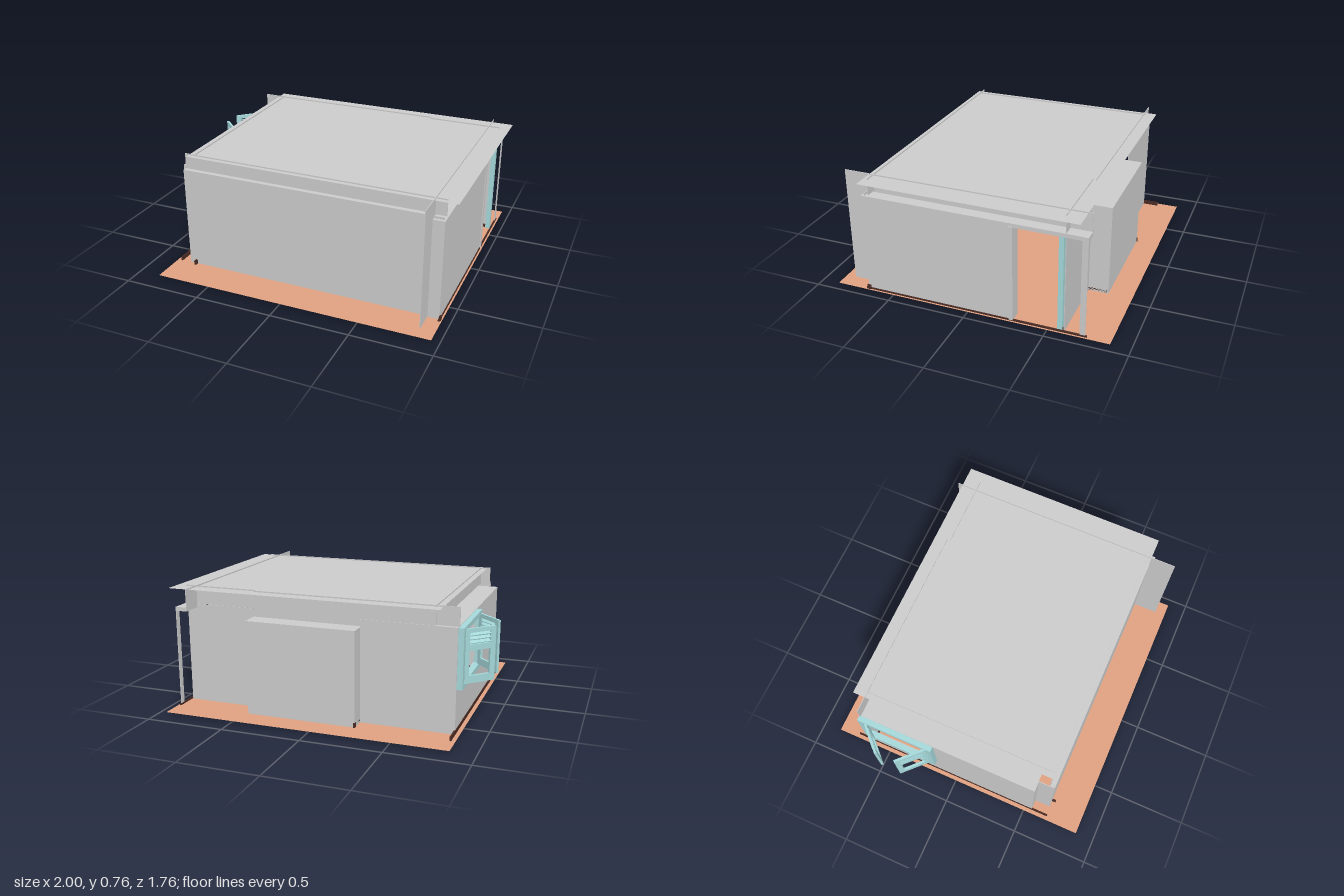
import * as THREE from 'three';

const mat = (color) => new THREE.MeshStandardMaterial({ color, side: THREE.DoubleSide });

export function createModel() {
  const room = new THREE.Group();
  room.name = 'room';
  const grey = mat(0xcccccc), clay = mat(0xe0a080), brown = mat(0x4a2c24), teal = mat(0xa5d8da);

  const add = (name, geometry, material, parent = room) => {
    const mesh = new THREE.Mesh(geometry, material);
    mesh.name = name;
    parent.add(mesh);
    return mesh;
  };
  // Box given by its extents on each axis
  const box = (name, [x0, x1], [y0, y1], [z0, z1], material = grey, parent = room) => {
    const mesh = add(name, new THREE.BoxGeometry(x1 - x0, y1 - y0, z1 - z0), material, parent);
    mesh.position.set((x0 + x1) / 2, (y0 + y1) / 2, (z0 + z1) / 2);
    return mesh;
  };
  // Thin upright panel between two plan points
  const panel = (name, [x0, z0], [x1, z1], [y0, y1], material = grey, t = 0.004) => {
    const mesh = add(name, new THREE.BoxGeometry(Math.hypot(x1 - x0, z1 - z0), y1 - y0, t), material);
    mesh.position.set((x0 + x1) / 2, (y0 + y1) / 2, (z0 + z1) / 2);
    mesh.rotation.y = -Math.atan2(z1 - z0, x1 - x0);
  };
  // Rectangle shape with rectangular holes, each [x0, y0, x1, y1]
  const rect = (T, [a, b, c, d]) =>
    new T([[a, b], [c, b], [c, d], [a, d]].map(([x, y]) => new THREE.Vector2(x, y)));
  const pierced = (outer, holes, depth) => {
    const shape = rect(THREE.Shape, outer);
    shape.holes = holes.map((h) => rect(THREE.Path, h));
    return new THREE.ExtrudeGeometry(shape, { depth, bevelEnabled: false });
  };

  // Floor and ceiling sheets
  const sheet = (name, x0, x1, z0, z1, y, material) => {
    const mesh = add(name, new THREE.PlaneGeometry(x1 - x0, z1 - z0), material);
    mesh.rotation.x = -Math.PI / 2;
    mesh.position.set((x0 + x1) / 2, y, (z0 + z1) / 2);
  };
  sheet('floor', -0.85, 0.95, -0.88, 0.88, 0.01, clay);
  sheet('ceiling', -0.73, 1.0, -0.7, 0.65, 0.757, grey);

  // Front wall with the stepped corner beside it
  const H = [0.01, 0.648];
  panel('frontWall', [-0.755, 0.65], [0.925, 0.65], [0, 0.665]);
  panel('frontCornerReturn', [-0.755, 0.65], [-0.755, 0.547], H);
  panel('frontCornerStep', [-0.755, 0.547], [-0.82, 0.547], H);
  box('frontWallLedge', [-0.755, 0.86], [0.661, 0.665], [0.62, 0.652]);

  // Back wall in two planes, with an alcove pushed out of it
  panel('backWallLeft', [0.925, -0.6], [0.46, -0.6], H);
  panel('backWallRight', [-0.24, -0.635], [-0.82, -0.635], H);
  panel('backWallOverAlcove', [0.46, -0.61], [-0.24, -0.61], [0.595, 0.65]);
  panel('alcoveBack', [0.46, -0.727], [-0.24, -0.727], [0.01, 0.6]);
  panel('alcoveSide', [0.458, -0.727], [0.458, -0.6], [0.01, 0.6]);
  panel('alcoveSide', [-0.238, -0.727], [-0.238, -0.6], [0.01, 0.6]);
  box('alcoveTop', [-0.24, 0.46], [0.596, 0.6], [-0.729, -0.6]);

  // Wall on the model's left: thick part, doorway, lintel, end post
  box('doorWall', [0.86, 0.934], [0.015, 0.65], [-0.29, 0.67]);
  box('doorTrim', [0.925, 0.94], [0.015, 0.63], [-0.29, -0.265]);
  box('doorLintel', [0.86, 0.934], [0.625, 0.65], [-0.73, -0.29]);
  panel('endPost', [0.934, -0.695], [0.934, -0.73], [0.015, 0.65]);
  box('doorJamb', [0.9, 0.93], [0.02, 0.625], [-0.59, -0.56], teal);
  panel('cornerFin', [0.86, 0.65], [0.86, 0.81], [0.02, 0.765]);

  // Wall on the model's right, with the window opening
  const windowWall = add('windowWall',
    pierced([-0.547, 0.01, 0.637, 0.648], [[0.16, 0.31, 0.6, 0.615]], 0.004), grey);
  windowWall.rotation.y = Math.PI / 2;
  windowWall.position.x = -0.822;
  box('windowWallLedge', [-0.822, -0.69], [0.644, 0.648], [-0.637, 0.547]);

  // Upper band under the ceiling
  const band = [0.65, 0.765];
  panel('leftBand', [0.86, 0.81], [0.86, -0.73], band);
  panel('rightBand', [-0.69, 0.62], [-0.69, -0.63], band);
  panel('frontBand', [-0.755, 0.62], [0.93, 0.62], [0.66, 0.765]);
  panel('backBand', [0.93, -0.6], [0.45, -0.6], band);
  panel('backBand', [0.45, -0.62], [-0.83, -0.62], band);

  // Skirting boards
  const skirt = (points, y = [0.002, 0.03]) => {
    for (let i = 1; i < points.length; i++) {
      panel('skirting', points[i - 1], points[i], y, brown, 0.01);
    }
  };
  skirt([[-0.82, -0.74], [-0.82, 0.66]], [0.002, 0.035]);
  skirt([[0.934, 0.685], [0.934, -0.74]], [0.002, 0.02]);
  skirt([[-0.82, 0.542], [-0.75, 0.542], [-0.75, 0.645], [0.86, 0.645]]);
  skirt([[0.925, -0.595], [0.455, -0.595], [0.455, -0.722], [-0.235, -0.722],
    [-0.235, -0.63], [-0.815, -0.63]]);
  for (const [x, z] of [[-0.71, 0.665], [0.938, 0.665], [-0.237, -0.722]]) {
    box('skirtingEnd', [x - 0.006, x + 0.006], [0.01, 0.038], [z - 0.012, z + 0.012], brown);
  }

  // Window frame
  const frame = add('windowFrame',
    pierced([0.13, 0.28, 0.63, 0.645], [[0.16, 0.31, 0.6, 0.615]], 0.04), teal);
  frame.rotation.y = Math.PI / 2;
  frame.position.x = -0.856;

  // Two shutters swung outward, each with an open pane and louvres above
  const shutter = (hinge, tip) => {
    const g = new THREE.Group();
    g.name = 'shutter';
    const dx = tip[0] - hinge[0], dz = tip[1] - hinge[1], w = Math.hypot(dx, dz);
    add('shutterFrame', pierced([0, 0.305, w, 0.63],
      [[0.03, 0.35, w - 0.035, 0.5], [0.03, 0.535, w - 0.035, 0.605]], 0.016), teal, g)
      .position.z = -0.008;
    for (let i = 0; i < 3; i++) {
      const slat = box('louvre', [0.03, w - 0.035], [0.546 + i * 0.023, 0.55 + i * 0.023],
        [-0.012, 0.012], teal, g);
      slat.rotation.x = 0.5;
    }
    g.position.set(hinge[0], 0, hinge[1]);
    g.rotation.y = -Math.atan2(dz, dx);
    room.add(g);
  };
  shutter([-0.85, -0.582], [-0.995, -0.435]);
  shutter([-0.85, -0.168], [-0.995, -0.31]);

  return room;
}
